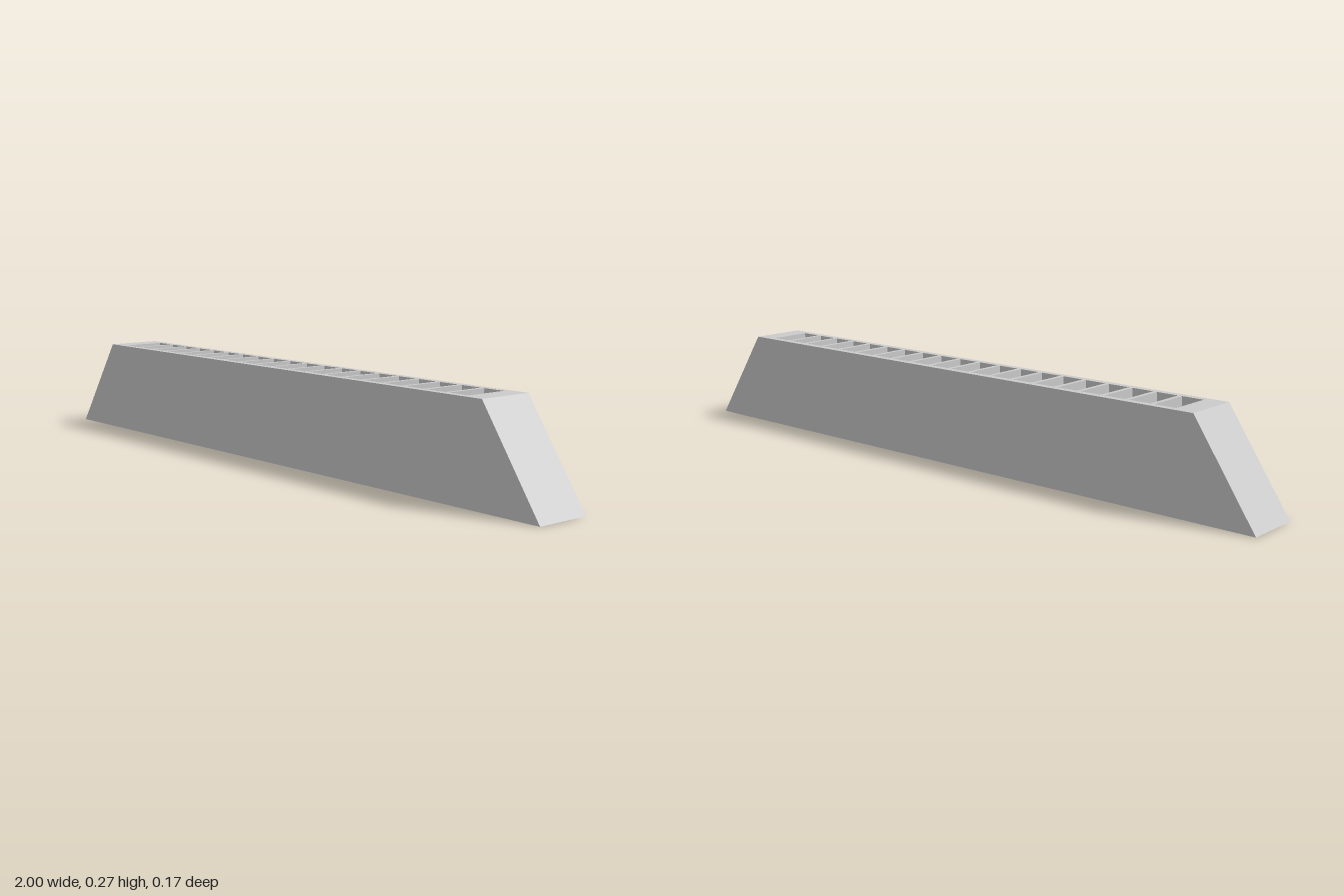
import * as THREE from 'three';

const HEIGHT = 0.273, HALF_DEPTH = 0.083;
const HALF_BASE = 1, HALF_TOP = 0.815;
const SLOTS = 20, PITCH = 0.076, HALF_SLOT_X = 0.032, HALF_SLOT_Z = 0.063;

// Traces a centred rectangle onto a Shape or Path
function rectangle(path, cx, hx, hy) {
  path.moveTo(cx - hx, -hy);
  path.lineTo(cx + hx, -hy);
  path.lineTo(cx + hx, hy);
  path.lineTo(cx - hx, hy);
  path.closePath();
  return path;
}

export function createModel() {
  const group = new THREE.Group();
  group.name = 'slottedBar';

  // Plan outline with a row of vertical through slots
  const plan = rectangle(new THREE.Shape(), 0, HALF_BASE, HALF_DEPTH);
  for (let i = 0; i < SLOTS; i++) {
    const cx = (i - (SLOTS - 1) / 2) * PITCH;
    plan.holes.push(rectangle(new THREE.Path(), cx, HALF_SLOT_X, HALF_SLOT_Z));
  }
  const geometry = new THREE.ExtrudeGeometry(plan, { depth: HEIGHT, bevelEnabled: false });
  geometry.rotateX(-Math.PI / 2);

  // Pull the upper end corners inward to slope both ends
  const pos = geometry.attributes.position;
  for (let i = 0; i < pos.count; i++) {
    const x = pos.getX(i);
    if (Math.abs(x) > 0.9 && pos.getY(i) > HEIGHT / 2) pos.setX(i, Math.sign(x) * HALF_TOP);
  }
  geometry.computeVertexNormals();

  const body = new THREE.Mesh(
    geometry,
    new THREE.MeshStandardMaterial({ color: 0xcccccc, flatShading: true })
  );
  body.name = 'slottedBody';
  group.add(body);
  return group;
}
